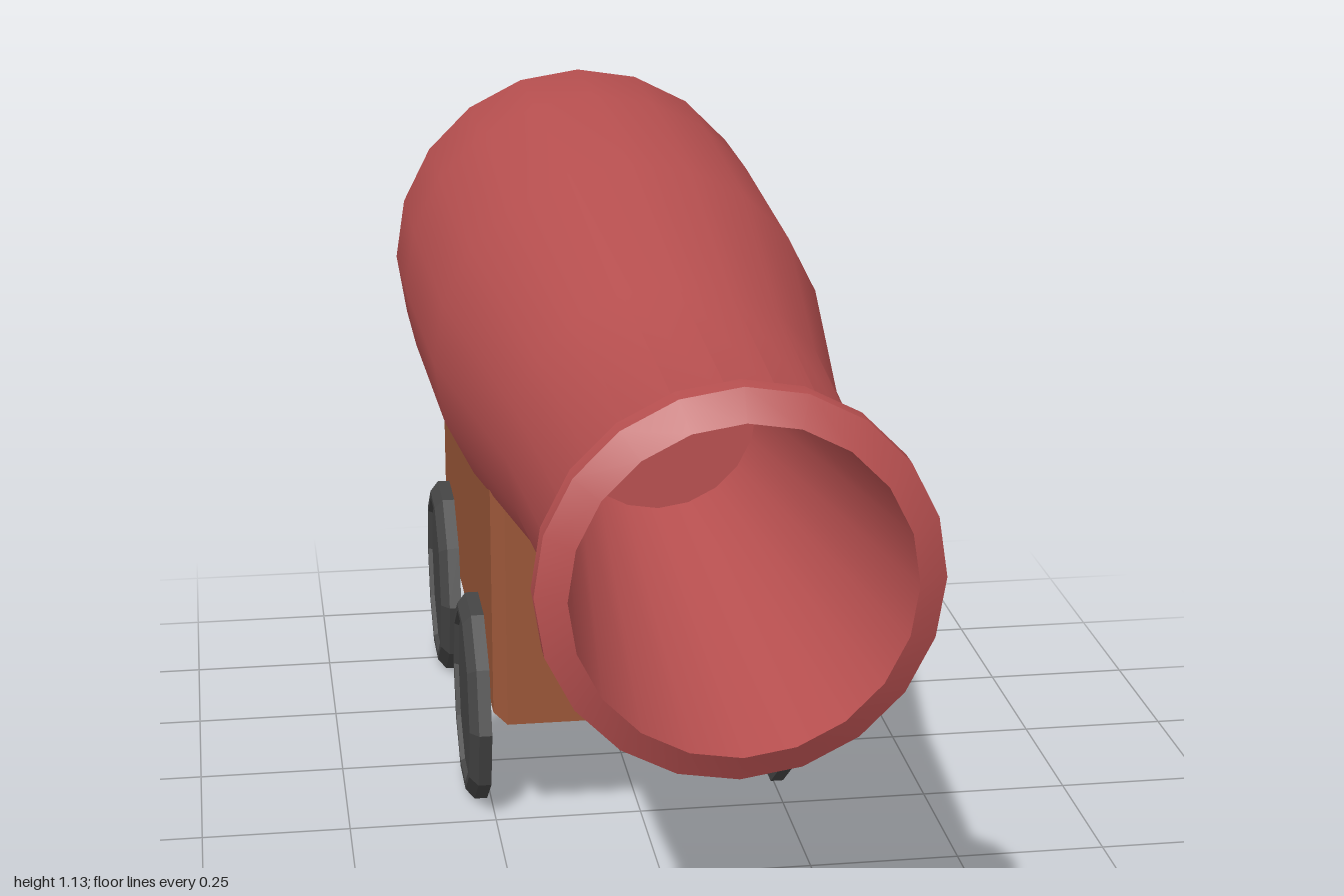
import * as THREE from 'three';
import { toCreasedNormals } from 'three/addons/utils/BufferGeometryUtils.js';

const points = (list) => list.map(([r, y]) => new THREE.Vector2(r, y));

function part(name, geometry, color, flatShading = false) {
  const mesh = new THREE.Mesh(geometry, new THREE.MeshStandardMaterial({ color, flatShading }));
  mesh.name = name;
  return mesh;
}

// Barrel: one turned profile from the breech, over the lip and down the bore
function makeBarrel() {
  const profile = points([
    [0, -1], [0.205, -1], [0.322, -0.915], [0.345, -0.83], [0.344, -0.6],
    [0.33, -0.12], [0.262, 0.38], [0.235, 0.885], [0.244, 0.902], [0.283, 0.94],
    [0.283, 0.975], [0.24, 1], [0.158, 0.2], [0, 0.2],
  ]);
  const geometry = toCreasedNormals(new THREE.LatheGeometry(profile, 20), 0.58);
  geometry.rotateX(Math.PI / 2);
  const barrel = part('barrel', geometry, 0xb85050);
  barrel.position.y = 0.788;
  return barrel;
}

// Carriage: a block whose two side panels are bevelled all round
function makeCarriage() {
  const [front, back, bottom, top] = [-0.055, 0.935, 0.205, 0.66];
  const side = new THREE.Shape(points([[front, bottom], [back, bottom], [back, top], [front, top]]));
  const bevel = 0.022, width = 0.49;
  const geometry = new THREE.ExtrudeGeometry(side, {
    depth: width - 2 * bevel, bevelThickness: bevel, bevelSize: 0.017, bevelOffset: -0.017, bevelSegments: 1,
  });
  geometry.translate(0, 0, bevel - width / 2).rotateY(Math.PI / 2);
  const carriage = part('carriage', geometry, 0x9a5638, true);
  carriage.position.x = -0.01;
  return carriage;
}

// Wheel: ten-sided disc, bevelled outside with a shallow recessed face
function makeWheel(sideSign, z) {
  const profile = points([
    [0, 0], [0.18, 0], [0.18, 0.022], [0.162, 0.037], [0.15, 0.037], [0.146, 0.029], [0, 0.029],
  ]);
  const geometry = new THREE.LatheGeometry(profile, 10).rotateZ(-sideSign * Math.PI / 2);
  const wheel = part((sideSign > 0 ? 'left' : 'right') + (z > -0.5 ? 'FrontWheel' : 'RearWheel'), geometry, 0x454545, true);
  wheel.position.set(sideSign > 0 ? 0.245 : -0.257, 0.18 * Math.sin(Math.PI * 0.4) + 0.005, z);
  return wheel;
}

export function createModel() {
  const model = new THREE.Group();
  model.name = 'cannon';
  model.add(makeBarrel(), makeCarriage());
  for (const sideSign of [1, -1]) {
    for (const z of [-0.147, -0.747]) model.add(makeWheel(sideSign, z));
  }
  return model;
}
